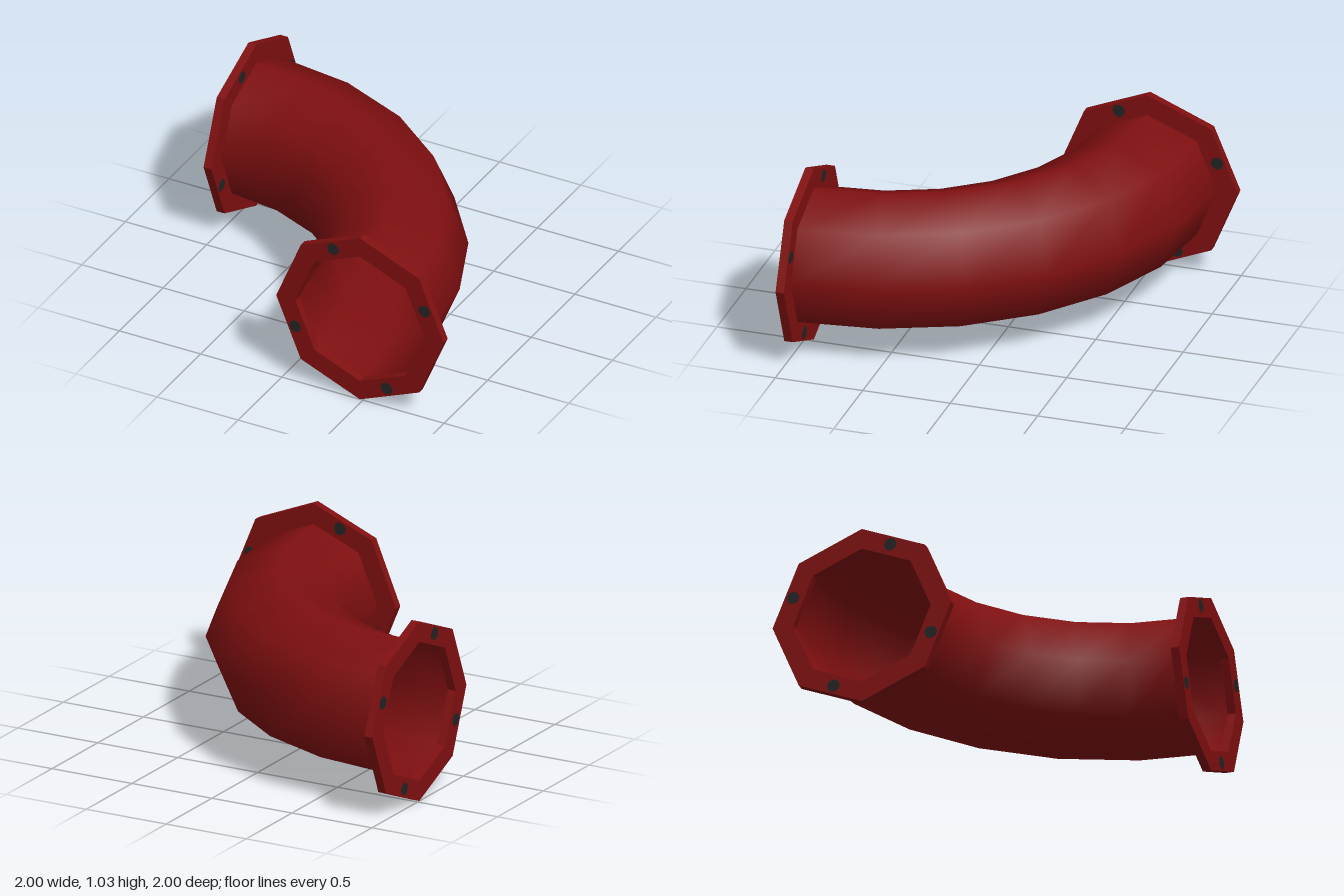
import * as THREE from 'three';

const PIPE_R = 0.397, FLANGE_R = 0.515, THICK = 0.048;
const BEND_R = 1.433, MID_Y = 0.517, END = 1 - THICK;

function octagon(path, r) {
  const pts = [];
  for (let i = 0; i < 8; i++) {
    const a = i * Math.PI / 4;
    pts.push(new THREE.Vector2(r * Math.cos(a), r * Math.sin(a)));
  }
  return path.setFromPoints(pts);
}

export function createModel() {
  const red = new THREE.MeshStandardMaterial({ color: 0x7f0f10, side: THREE.DoubleSide });
  red.name = 'dark red';
  const black = new THREE.MeshStandardMaterial({ color: 0x232323 });
  black.name = 'bolt black';
  const model = new THREE.Group();
  model.name = 'pipeElbow';

  // Open quarter bend, eight sides around and six segments along
  const bend = new THREE.TorusGeometry(BEND_R, PIPE_R, 8, 6, Math.PI / 2).rotateX(-Math.PI / 2);
  const pipe = new THREE.Mesh(bend, red);
  pipe.name = 'pipeBend';
  pipe.position.set(-END, MID_Y, END);
  model.add(pipe);

  // Octagonal ring with the pipe bore cut through
  const shape = octagon(new THREE.Shape(), FLANGE_R);
  shape.holes.push(octagon(new THREE.Path(), PIPE_R));
  const ringGeo = new THREE.ExtrudeGeometry(shape, { depth: THICK, bevelEnabled: false });
  // Bolt marks run through the ring, just proud of both faces
  const boltGeo = new THREE.CylinderGeometry(0.037, 0.037, THICK + 0.004, 8).rotateX(Math.PI / 2);

  function flange(name) {
    const group = new THREE.Group();
    group.name = name;
    const ring = new THREE.Mesh(ringGeo, red);
    ring.name = 'flangeRing';
    group.add(ring);
    for (let i = 0; i < 4; i++) {
      const a = Math.PI / 8 + i * Math.PI / 2;
      const bolt = new THREE.Mesh(boltGeo, black);
      bolt.name = 'bolt';
      bolt.position.set(0.43 * Math.cos(a), 0.43 * Math.sin(a), THICK / 2);
      group.add(bolt);
    }
    model.add(group);
    return group;
  }

  flange('frontFlange').position.set(BEND_R - END, MID_Y, END);
  const side = flange('sideFlange');
  side.rotation.y = Math.PI / 2;
  side.position.set(-1, MID_Y, END - BEND_R);

  return model;
}
